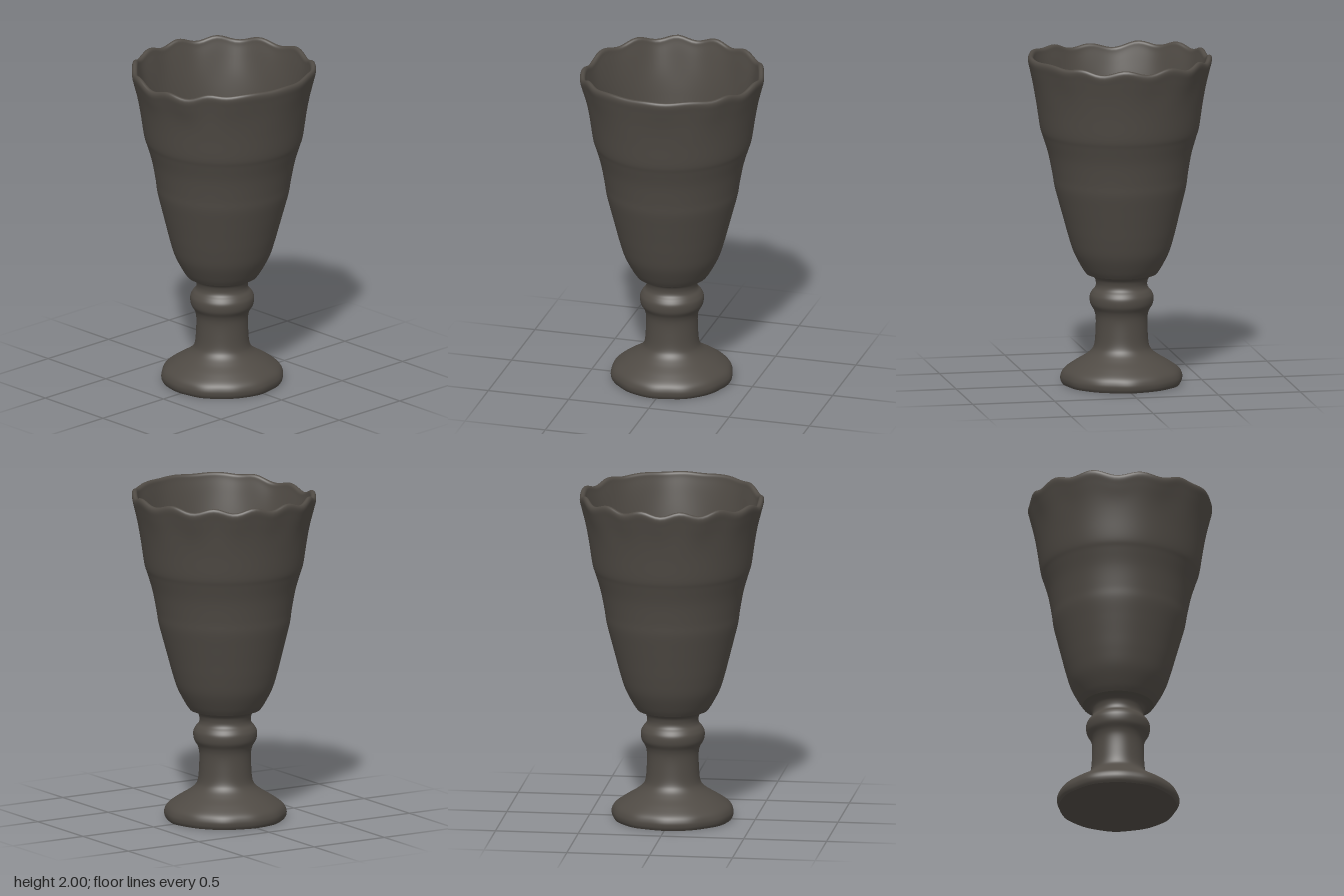
import * as THREE from 'three';
import { mergeVertices } from 'three/addons/utils/BufferGeometryUtils.js';

const SEGMENTS = 120;

// Smooth profile through [radius, height] points
function profile(points, steps) {
  return new THREE.SplineCurve(points.map(([r, y]) => new THREE.Vector2(r, y))).getPoints(steps);
}

// Turned surface whose vertices are then moved by a rule (v, angle, radius)
function turned(points, rule) {
  let geo = new THREE.LatheGeometry(points, SEGMENTS);
  geo.deleteAttribute('uv');
  geo.deleteAttribute('normal');
  geo = mergeVertices(geo, 1e-5);
  const pos = geo.attributes.position;
  const v = new THREE.Vector3();
  for (let i = 0; i < pos.count; i++) {
    v.fromBufferAttribute(pos, i);
    rule(v, Math.atan2(v.z, v.x), Math.hypot(v.x, v.z));
    pos.setXYZ(i, v.x, v.y, v.z);
  }
  geo.computeVertexNormals();
  return geo;
}

// Hand-made lean: the stem sits slightly off the bowl's axis
function lean(v) {
  const t = 1 - THREE.MathUtils.smoothstep(v.y, 0.6, 1.6);
  v.x -= 0.011 * t;
  v.z += 0.004 * t;
}

// Scalloped lip: lower at the front, calm on the +x side
function lipHeight(a) {
  const dip = Math.exp(-Math.pow((a - Math.PI / 2) / 0.5, 2));
  const calm = 1 - THREE.MathUtils.smoothstep(Math.abs(a), 0.5, 1.1);
  const scallop = 0.014 * (Math.cos(13 * a + 0.6 * Math.sin(2 * a)) - 1) * (1 - 0.85 * calm);
  return scallop - 0.03 * dip;
}

function shapeBowl(v, a) {
  const top = THREE.MathUtils.smoothstep(v.y, 1.72, 1.99);
  const body = THREE.MathUtils.smoothstep(v.y, 0.8, 1.9);
  const s = 1 + body * 0.006 * Math.sin(3 * a + 0.5) + top * 0.007 * Math.cos(9 * a + 1);
  v.x *= s;
  v.z *= s;
  v.y += top * lipHeight(a);
  lean(v);
}

function shapeFoot(v, a) {
  const low = 1 - THREE.MathUtils.smoothstep(v.y, 0.03, 0.16);
  const s = 1 + low * (0.006 * Math.sin(7 * a) + 0.005 * Math.sin(12 * a + 1));
  v.x *= s;
  v.z *= s;
  lean(v);
}

export function createModel() {
  const group = new THREE.Group();
  const clay = new THREE.MeshStandardMaterial({ color: 0x4f4a44 });
  clay.name = 'dark clay';

  const add = (name, geo) => {
    const mesh = new THREE.Mesh(geo, clay);
    mesh.name = name;
    group.add(mesh);
  };

  // Flat underside
  add('footUnderside', turned([new THREE.Vector2(0, 0), new THREE.Vector2(0.352, 0)], shapeFoot));

  // Flared foot, stem and knob
  add('footAndStem', turned(profile([
    [0.352, 0], [0.363, 0.02], [0.364, 0.05], [0.345, 0.085], [0.29, 0.125], [0.225, 0.165],
    [0.182, 0.2], [0.163, 0.24], [0.156, 0.32], [0.155, 0.4], [0.165, 0.445], [0.187, 0.485],
    [0.191, 0.53], [0.178, 0.56], [0.158, 0.585], [0.154, 0.615], [0.168, 0.648], [0.212, 0.668],
  ], 90), shapeFoot));

  // Bowl wall with faint throwing ridges, rounded lip and hollow inside
  add('bowl', turned(profile([
    [0.212, 0.668], [0.24, 0.71], [0.286, 0.8], [0.317, 0.9], [0.343, 1.0], [0.369, 1.1],
    [0.394, 1.2], [0.406, 1.28], [0.429, 1.4], [0.458, 1.5], [0.476, 1.56], [0.497, 1.7],
    [0.518, 1.82], [0.54, 1.92], [0.551, 1.97], [0.547, 1.993], [0.534, 2.0], [0.52, 1.99],
    [0.513, 1.96], [0.496, 1.88], [0.462, 1.7], [0.43, 1.5], [0.372, 1.25], [0.317, 1.0],
    [0.26, 0.82], [0.21, 0.755], [0.17, 0.735],
  ], 150), shapeBowl));

  // Flat floor inside the bowl
  add('bowlFloor', turned([new THREE.Vector2(0.17, 0.735), new THREE.Vector2(0, 0.735)], shapeBowl));

  return group;
}
